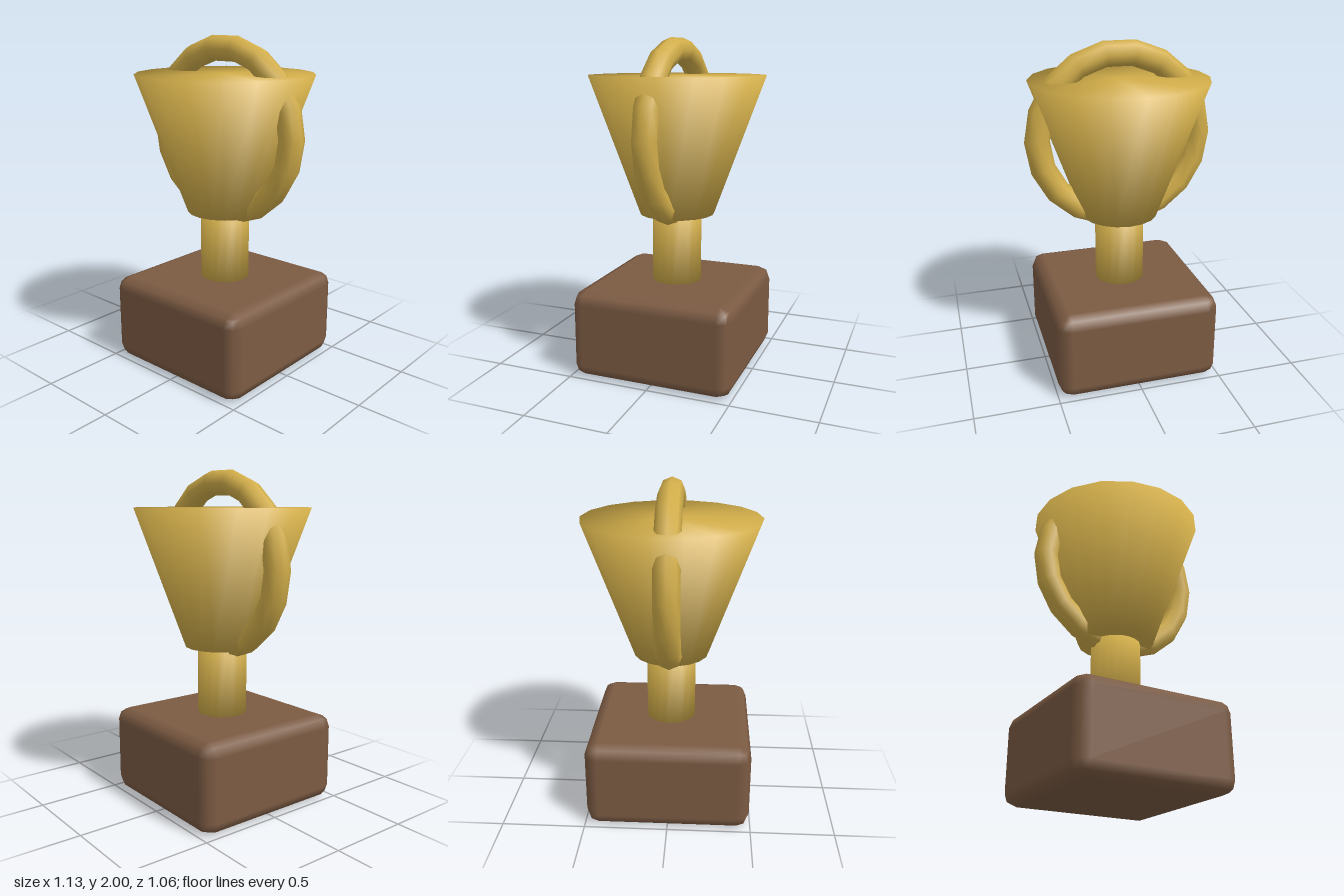
import * as THREE from 'three';
import { RoundedBoxGeometry } from 'three/addons/geometries/RoundedBoxGeometry.js';

const gold = new THREE.MeshStandardMaterial({ color: 0xd2ae4a });
gold.name = 'gold';
const wood = new THREE.MeshStandardMaterial({ color: 0x7c5b43 });
wood.name = 'brown wood';

// Closed 18-sided frustum from y0 to y1, shaded softly over its rims and caps
function softFrustum(r0, r1, y0, y1) {
  const geometry = new THREE.CylinderGeometry(r1, r0, y1 - y0, 18);
  geometry.translate(0, (y0 + y1) / 2, 0);
  const p = geometry.attributes.position;
  const n = geometry.attributes.normal;
  const slant = Math.hypot(y1 - y0, r1 - r0);
  const out = (y1 - y0) / slant;
  const up = (r0 - r1) / slant;
  const v = new THREE.Vector3();
  for (let i = 0; i < p.count; i++) {
    const top = p.getY(i) > (y0 + y1) / 2;
    const radius = top ? r1 : r0;
    const rimY = up + (top ? 1 : -1);
    v.set((p.getX(i) / radius) * out, rimY, (p.getZ(i) / radius) * out);
    // cap centres keep the rim's scale, so the slope runs evenly across the cap
    v.divideScalar(Math.hypot(out, rimY));
    n.setXYZ(i, v.x, v.y, v.z);
  }
  return geometry;
}

export function createModel() {
  const group = new THREE.Group();
  group.name = 'trophy';

  const add = (name, geometry, material, y = 0) => {
    const mesh = new THREE.Mesh(geometry, material);
    mesh.name = name;
    mesh.position.y = y;
    group.add(mesh);
  };

  // Rounded plinth
  add('base', new RoundedBoxGeometry(0.985, 0.535, 0.985, 1, 0.078), wood, 0.2675);

  // Stem and filled cup
  add('stem', softFrustum(0.15, 0.15, 0.51, 0.98), gold);
  add('cup', softFrustum(0.228, 0.53, 0.953, 1.785), gold);

  // One ring through the cup forms both handles and the top arch
  add('handleRing', new THREE.TorusGeometry(0.49, 0.075, 8, 18), gold, 1.444);

  return group;
}
